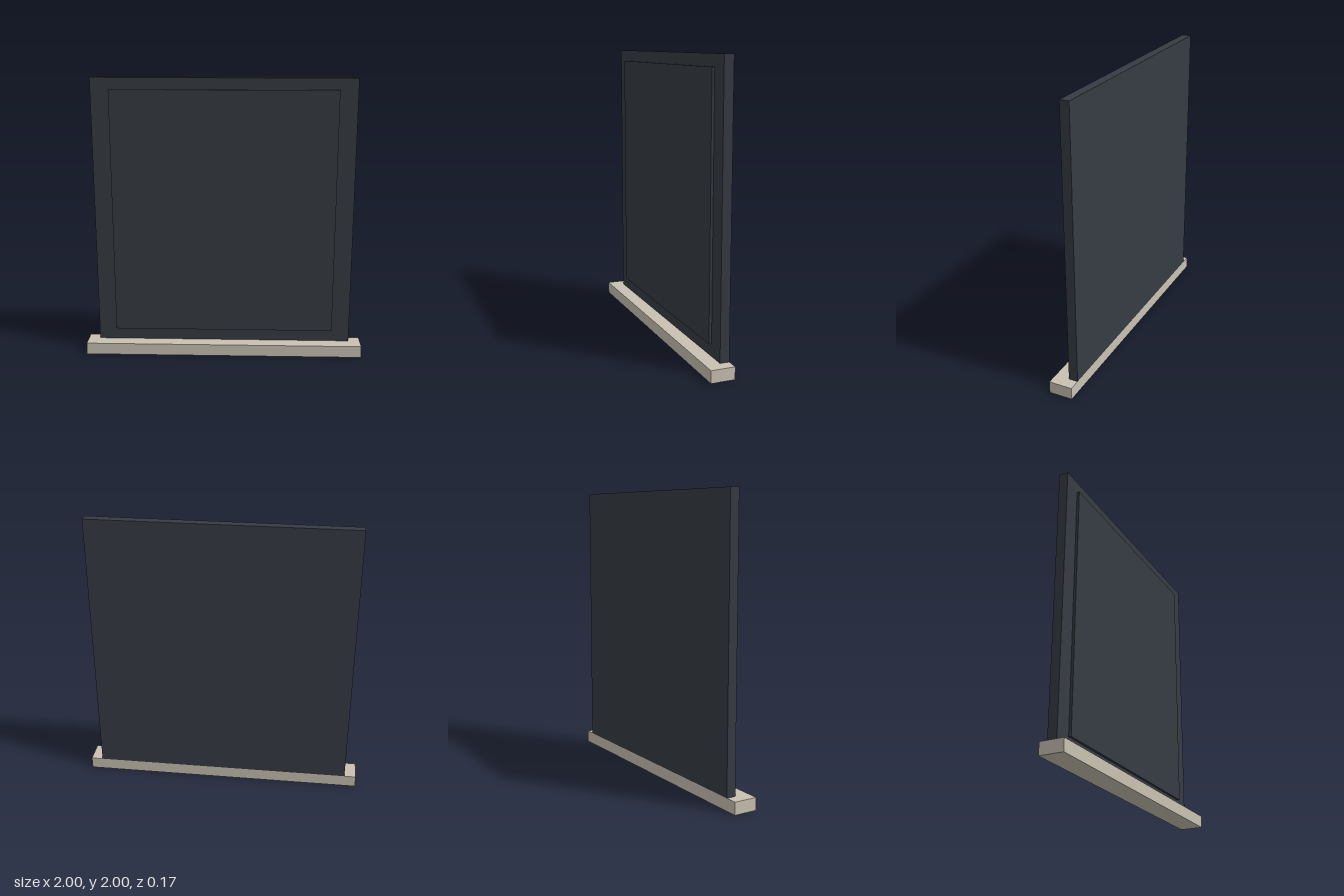
import * as THREE from 'three';

export function createModel() {
  const group = new THREE.Group();
  const charcoal = new THREE.MeshStandardMaterial({ color: 0x363b43 });
  charcoal.name = 'charcoal';
  const stone = new THREE.MeshStandardMaterial({ color: 0xc9c2b2 });
  stone.name = 'pale stone';

  // Box given by its width and its y and z limits, centred on x = 0
  function addBox(name, width, y0, y1, z0, z1, material) {
    const mesh = new THREE.Mesh(new THREE.BoxGeometry(width, y1 - y0, z1 - z0), material);
    mesh.position.set(0, (y0 + y1) / 2, (z0 + z1) / 2);
    mesh.name = name;
    group.add(mesh);
  }

  // Ledge, upright slab flush with its back edge, and raised front panel
  addBox('sill', 2, 0, 0.085, -0.083, 0.083, stone);
  addBox('slab', 1.834, 0.085, 2, -0.083, -0.018, charcoal);
  addBox('raisedPanel', 1.58, 0.17, 1.92, -0.018, 0, charcoal);

  return group;
}
